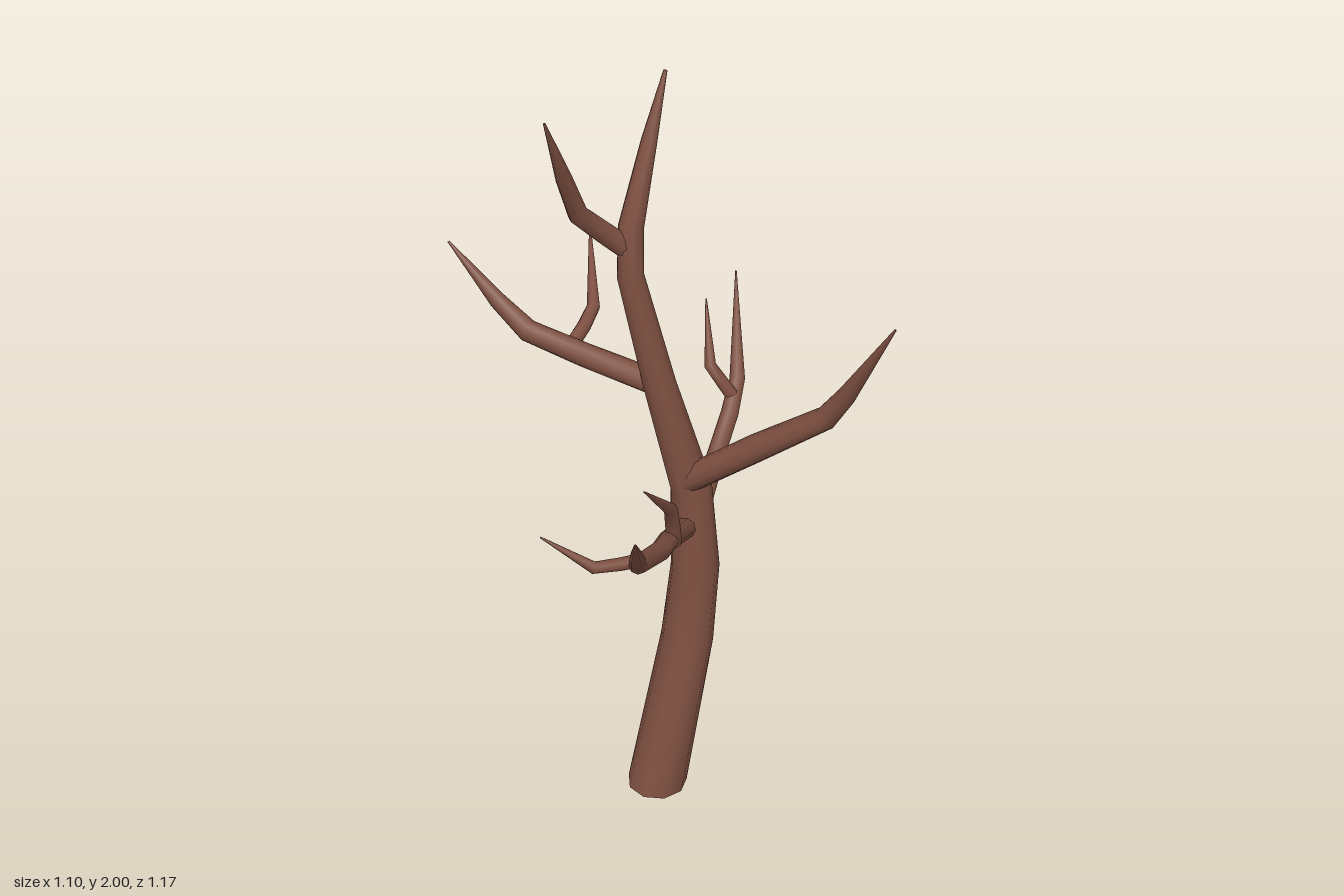
import * as THREE from 'three';

const SIDES = 9;

// Tapered limb: each row is [x, y, z, radius]; rings are carried along the path without twisting.
function limbGeometry(rows, startDir) {
  const pts = rows.map(r => new THREE.Vector3(r[0], r[1], r[2]));
  const n = pts.length;
  const dir = i => pts[i + 1].clone().sub(pts[i]).normalize();
  const pos = [], idx = [];
  let prev = startDir ? startDir.clone() : dir(0);
  const side = new THREE.Vector3(1, 0, 0);
  if (Math.abs(prev.x) > 0.8) side.set(0, 0, 1);
  side.addScaledVector(prev, -side.dot(prev)).normalize();
  const turn = new THREE.Quaternion();
  for (let i = 0; i < n; i++) {
    let t = prev;
    if (i === n - 1) t = dir(n - 2);
    else if (i > 0) t = dir(i - 1).add(dir(i)).normalize();
    side.applyQuaternion(turn.setFromUnitVectors(prev, t));
    const other = new THREE.Vector3().crossVectors(t, side);
    for (let k = 0; k < SIDES; k++) {
      const a = (k / SIDES) * Math.PI * 2;
      const p = pts[i].clone()
        .addScaledVector(side, Math.cos(a) * rows[i][3])
        .addScaledVector(other, Math.sin(a) * rows[i][3]);
      pos.push(p.x, p.y, p.z);
    }
    prev = t;
  }
  for (let i = 0; i < n - 1; i++) {
    for (let k = 0; k < SIDES; k++) {
      const a = i * SIDES + k, b = i * SIDES + (k + 1) % SIDES;
      idx.push(a, b, b + SIDES, a, b + SIDES, a + SIDES);
    }
  }
  // Flat start cap with its own corners, so its edge stays sharp
  const cap = pos.length / 3;
  for (let k = 0; k < SIDES; k++) pos.push(pos[k * 3], pos[k * 3 + 1], pos[k * 3 + 2]);
  for (let k = 1; k < SIDES - 1; k++) idx.push(cap, cap + k + 1, cap + k);
  // Small closing cap at the tip
  const last = (n - 1) * SIDES;
  for (let k = 1; k < SIDES - 1; k++) idx.push(last, last + k, last + k + 1);

  const g = new THREE.BufferGeometry();
  g.setAttribute('position', new THREE.Float32BufferAttribute(pos, 3));
  g.setIndex(idx);
  g.computeVertexNormals();
  return g;
}

export function createModel() {
  const tree = new THREE.Group();
  tree.name = 'bareTree';
  const bark = new THREE.MeshStandardMaterial({ color: 0x7d4f40 });
  bark.name = 'bark brown';

  const add = (name, rows, startDir) => {
    const mesh = new THREE.Mesh(limbGeometry(rows, startDir), bark);
    mesh.name = name;
    tree.add(mesh);
  };

  // Leaning trunk, cut level at the ground
  add('trunk', [
    [-0.04, 0, 0.035, 0.08], [0.068, 0.43, 0.035, 0.07], [0.096, 0.65, 0.034, 0.064],
    [0.088, 0.9, 0.024, 0.054], [0.03, 1.2, -0.03, 0.042], [-0.012, 1.5, -0.088, 0.034],
    [0.005, 1.62, -0.103, 0.032], [0.075, 1.82, -0.113, 0.02], [0.133, 1.982, -0.118, 0.005],
  ], new THREE.Vector3(0, 1, 0));

  // Top fork
  add('topFork', [
    [0.0, 1.56, -0.1, 0.028], [-0.06, 1.62, -0.125, 0.027], [-0.13, 1.69, -0.14, 0.025],
    [-0.19, 1.81, -0.117, 0.02], [-0.28, 1.997, -0.077, 0.003],
  ]);

  // Back branch and its twig
  add('backBranch', [
    [0.03, 1.2, -0.03, 0.033], [-0.05, 1.235, -0.22, 0.031], [-0.107, 1.265, -0.365, 0.029],
    [-0.13, 1.325, -0.45, 0.022], [-0.17, 1.455, -0.585, 0.003],
  ]);
  add('backTwig', [
    [-0.06, 1.24, -0.26, 0.018], [0.015, 1.265, -0.287, 0.018], [0.065, 1.29, -0.308, 0.017],
    [0.205, 1.405, -0.473, 0.002],
  ]);

  // Front branch
  add('frontBranch', [
    [0.07, 0.925, 0.03, 0.036], [0.14, 1.07, 0.2, 0.036], [0.2, 1.21, 0.37, 0.03],
    [0.206, 1.3, 0.43, 0.024], [0.187, 1.555, 0.585, 0.003],
  ]);

  // Right branch and its two twigs
  add('rightBranch', [
    [0.07, 0.78, 0.03, 0.028], [-0.16, 0.945, 0.205, 0.026], [-0.26, 1.0, 0.28, 0.025],
    [-0.385, 1.05, 0.335, 0.023], [-0.45, 1.14, 0.4, 0.016], [-0.545, 1.268, 0.498, 0.003],
  ]);
  add('rightInnerTwig', [
    [-0.15, 0.935, 0.21, 0.02], [-0.165, 0.99, 0.222, 0.019], [-0.185, 1.06, 0.235, 0.017],
    [-0.36, 1.24, 0.33, 0.002],
  ]);
  add('rightOuterTwig', [
    [-0.35, 1.04, 0.32, 0.017], [-0.41, 1.045, 0.3, 0.016], [-0.468, 1.05, 0.273, 0.015],
    [-0.55, 1.13, 0.182, 0.002],
  ]);

  // Left branch and its twig
  add('leftBranch', [
    [0.11, 0.67, 0.015, 0.028], [0.17, 0.69, -0.025, 0.027], [0.247, 0.73, -0.087, 0.026],
    [0.3, 0.83, -0.098, 0.025], [0.36, 0.935, -0.108, 0.024], [0.44, 0.98, -0.162, 0.021],
    [0.55, 1.215, -0.283, 0.002],
  ]);
  add('leftTwig', [
    [0.395, 0.955, -0.13, 0.018], [0.375, 1.0, -0.152, 0.017], [0.355, 1.05, -0.18, 0.016],
    [0.41, 1.198, -0.253, 0.002],
  ]);

  return tree;
}
